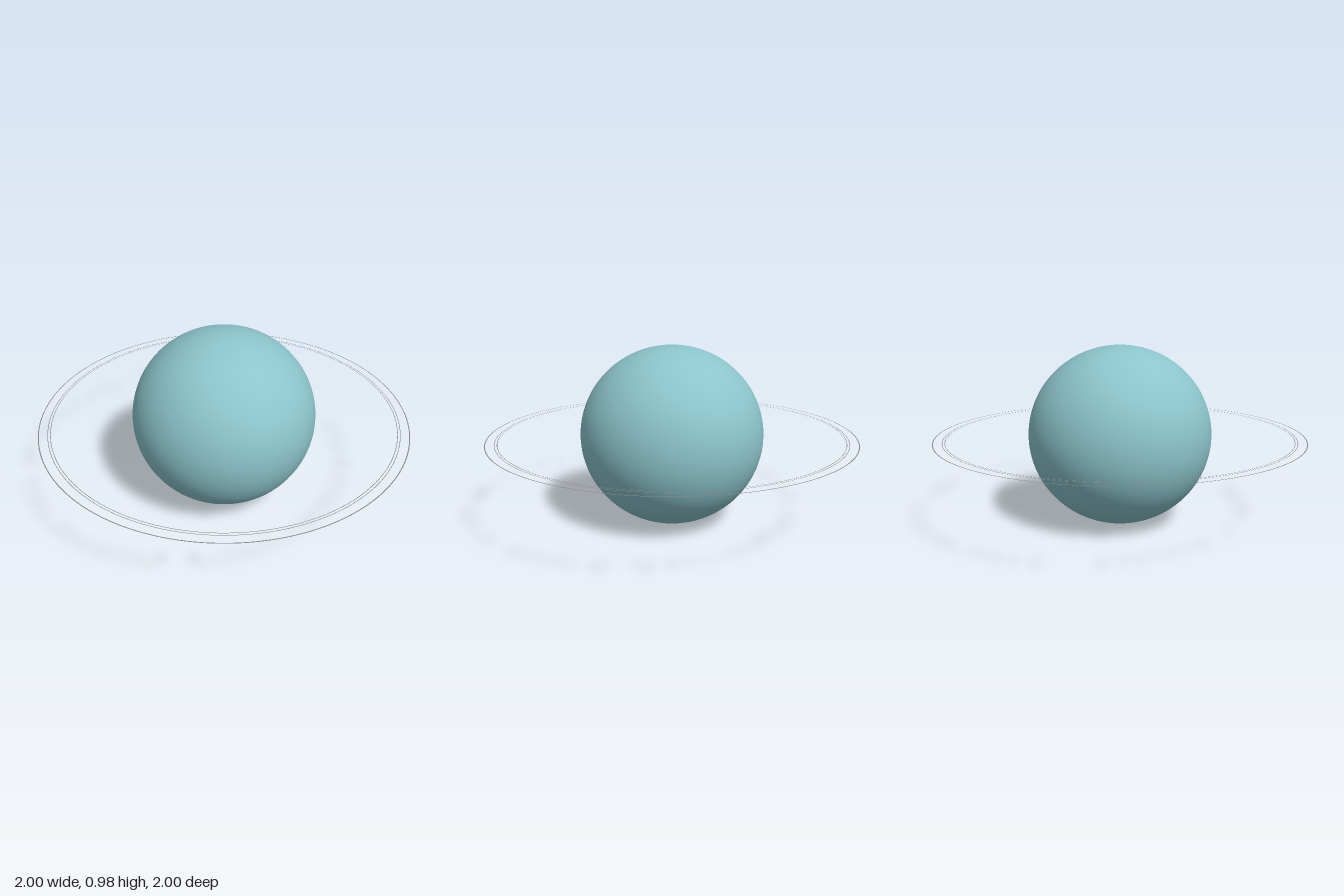
import * as THREE from 'three';

const RADIUS = 0.5;
const FLATTENING = 0.977;
const CENTER_Y = RADIUS * FLATTENING;

export function createModel() {
  const model = new THREE.Group();
  model.name = 'ringedPlanet';

  const paleTeal = new THREE.MeshStandardMaterial({ color: 0x8bc4cb });
  paleTeal.name = 'paleTeal';
  const dustGrey = new THREE.MeshStandardMaterial({ color: 0x858585, side: THREE.DoubleSide });
  dustGrey.name = 'dustGrey';

  // Slightly flattened globe
  const globe = new THREE.Mesh(new THREE.SphereGeometry(RADIUS, 96, 64), paleTeal);
  globe.name = 'globe';
  globe.scale.y = FLATTENING;
  globe.position.y = CENTER_Y;
  model.add(globe);

  // Thin flat rings around the equator: name, outer radius, width
  const rings = [
    ['outerRing', 1.0, 0.005],
    ['middleRing', 0.951, 0.003],
    ['innerRing', 0.937, 0.003],
  ];
  for (const [name, outer, width] of rings) {
    const ring = new THREE.Mesh(new THREE.RingGeometry(outer - width, outer, 192), dustGrey);
    ring.name = name;
    ring.rotation.x = -Math.PI / 2;
    ring.position.y = CENTER_Y;
    model.add(ring);
  }

  return model;
}
